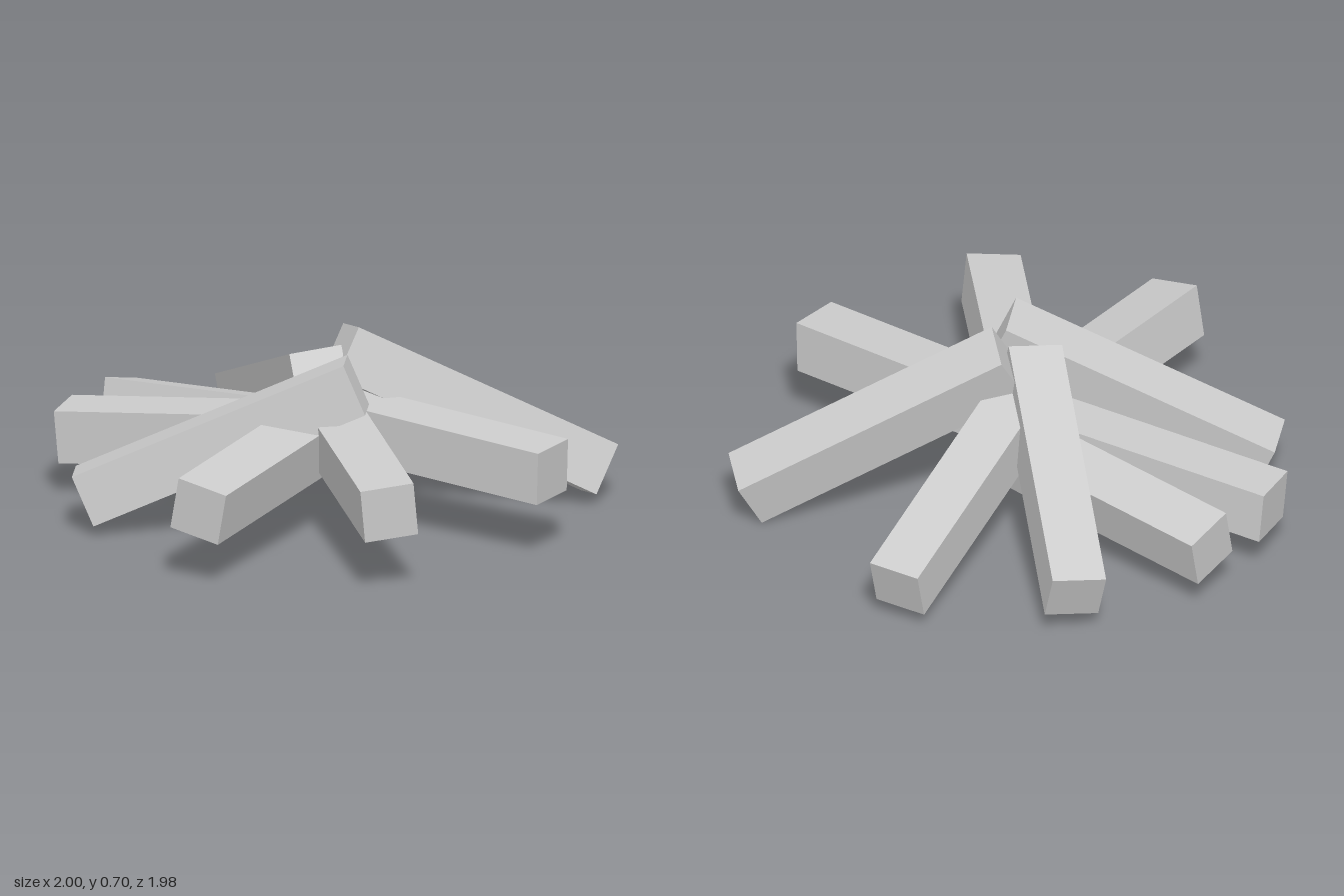
import * as THREE from 'three';

const THICK = 0.195;

// Each log: centre of the outer end, centre of the inner end, direction of its upper face
const LOGS = [
  ['logLeft', [0.945, 0.115, 0.02], [0.005, 0.605, -0.04], [0.09, 0.17, -0.04]],
  ['logFrontLeft', [0.605, 0.315, 0.67], [-0.11, 0.37, -0.11], [0.0, 0.2, 0.01]],
  ['logFront', [-0.075, 0.305, 0.98], [-0.045, 0.36, -0.08], [-0.02, 0.195, 0.01]],
  ['logFrontRight', [-0.715, 0.285, 0.73], [0.0, 0.34, -0.045], [0.025, 0.19, 0.03]],
  ['logRight', [-0.935, 0.13, -0.045], [-0.005, 0.555, 0.23], [-0.07, 0.18, -0.04]],
  ['logRightBack', [-0.88, 0.23, -0.54], [-0.005, 0.315, 0.05], [-0.01, 0.2, 0.0]],
  ['logBackRight', [-0.625, 0.23, -0.785], [0.09, 0.29, 0.0], [0.03, 0.19, -0.04]],
  ['logBack', [-0.11, 0.175, -0.95], [-0.09, 0.54, 0.045], [-0.02, 0.19, -0.065]],
  ['logBackLeft', [0.51, 0.16, -0.785], [-0.11, 0.475, 0.015], [0.035, 0.18, -0.055]],
];

// Square beam running between two points, rolled so its top faces `up`
function makeLog(name, outer, inner, up, material) {
  const a = new THREE.Vector3(...outer);
  const b = new THREE.Vector3(...inner);
  const along = b.clone().sub(a);
  const length = along.length();
  along.normalize();
  const side = new THREE.Vector3(...up).cross(along).normalize();
  const top = along.clone().cross(side);
  const log = new THREE.Mesh(new THREE.BoxGeometry(THICK, THICK, length), material);
  log.name = name;
  log.quaternion.setFromRotationMatrix(new THREE.Matrix4().makeBasis(side, top, along));
  log.position.copy(a).add(b).multiplyScalar(0.5);
  return log;
}

export function createModel() {
  const group = new THREE.Group();
  group.name = 'logPile';
  const wood = new THREE.MeshStandardMaterial({ color: 0xcccccc, flatShading: true });
  for (const [name, outer, inner, up] of LOGS) {
    group.add(makeLog(name, outer, inner, up, wood));
  }
  return group;
}
